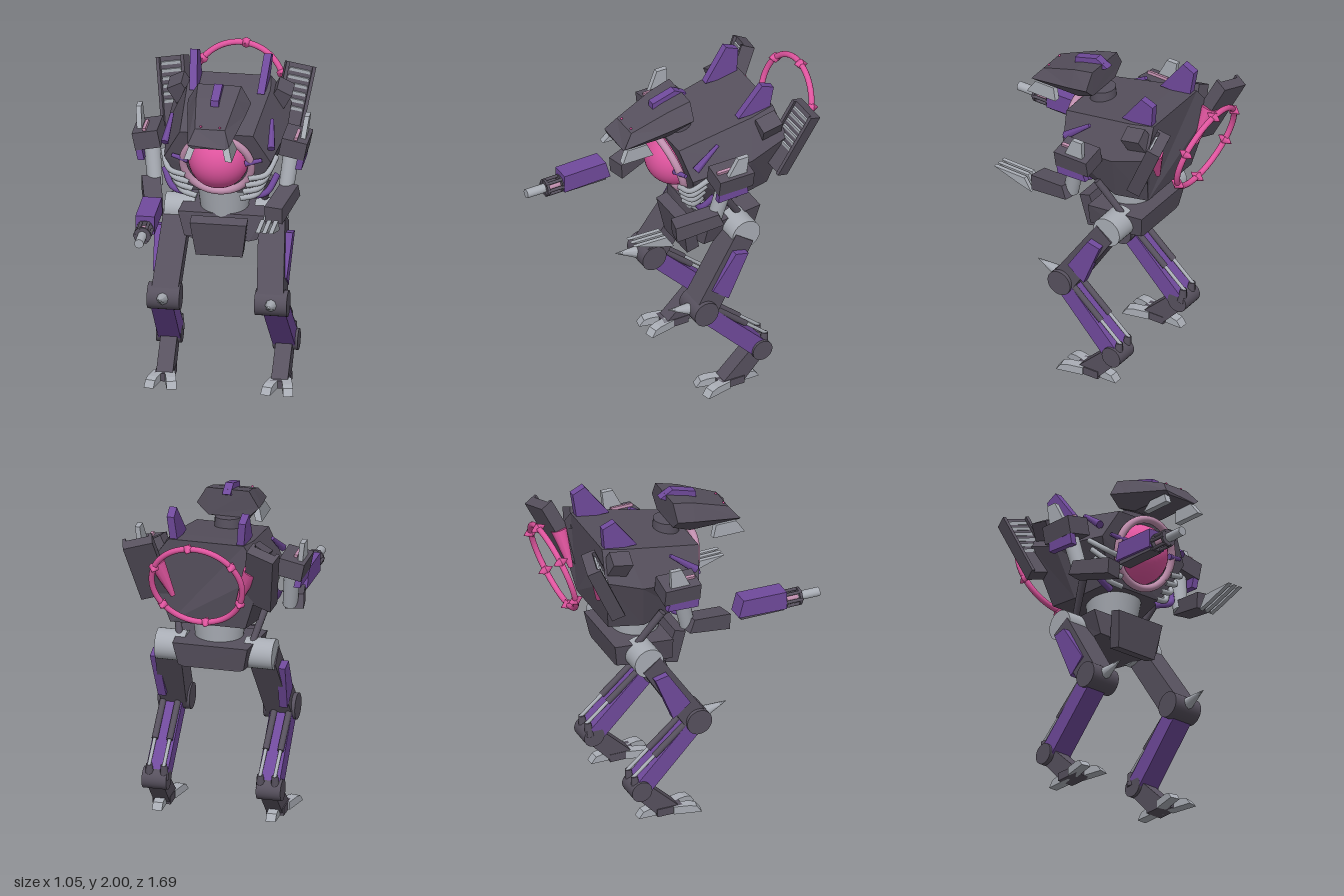
import * as THREE from 'three';

const colour = (name, hex) => {
  const m = new THREE.MeshStandardMaterial({ color: hex });
  m.name = name;
  return m;
};
const V = (p) => new THREE.Vector3(...p);

// Box with baked position and rotation
function box(w, h, d, pos, rot = [0, 0, 0]) {
  return place(new THREE.BoxGeometry(w, h, d), pos, rot);
}

function place(geo, pos, rot = [0, 0, 0]) {
  const q = new THREE.Quaternion().setFromEuler(new THREE.Euler(...rot, 'YXZ'));
  return geo.applyMatrix4(new THREE.Matrix4().compose(V(pos), q, V([1, 1, 1])));
}

// Side profile of [z, y] points, extruded across x
function plate(points, x0, x1) {
  const shape = new THREE.Shape(points.map(([z, y]) => new THREE.Vector2(z, y)));
  return new THREE.ExtrudeGeometry(shape, { depth: x1 - x0, bevelEnabled: false })
    .rotateY(-Math.PI / 2).translate(x1, 0, 0);
}

// Slide x in proportion to the drop below y0
function lean(geo, y0, k) {
  const p = geo.attributes.position;
  for (let i = 0; i < p.count; i++) p.setX(i, p.getX(i) + (y0 - p.getY(i)) * k);
  return geo;
}

// Round bar between two points
function bar(a, b, r0, r1 = r0, sides = 16) {
  const from = V(a), to = V(b), dir = to.clone().sub(from);
  const q = new THREE.Quaternion().setFromUnitVectors(V([0, 1, 0]), dir.clone().normalize());
  return new THREE.CylinderGeometry(r1, r0, dir.length(), sides).applyQuaternion(q)
    .translate(...from.add(to).multiplyScalar(0.5).toArray());
}

// Faceted skin over symmetric rings, front to back; each ring lists its right half from bottom to top
function loft(halves) {
  const rings = halves.map((h) => [...h, ...h.slice().reverse().map(([x, y, z]) => [-x, y, z])]);
  const out = [], n = rings[0].length;
  const tri = (...t) => t.forEach((p) => out.push(...p));
  for (let k = 0; k < rings.length - 1; k++) {
    for (let i = 0; i < n; i++) {
      const j = (i + 1) % n, f = rings[k], b = rings[k + 1];
      tri(f[i], b[i], f[j]);
      tri(f[j], b[i], b[j]);
    }
  }
  const first = rings[0], last = rings[rings.length - 1];
  for (let i = 1; i < n - 1; i++) {
    tri(first[0], first[i], first[i + 1]);
    tri(last[0], last[i + 1], last[i]);
  }
  const g = new THREE.BufferGeometry();
  g.setAttribute('position', new THREE.Float32BufferAttribute(out, 3));
  g.computeVertexNormals();
  return g;
}

// Copy reflected in x, with corner order restored
function mirrored(geo) {
  const g = geo.index ? geo.toNonIndexed() : geo.clone();
  g.scale(-1, 1, 1);
  for (const a of Object.values(g.attributes)) {
    for (let i = 0; i < a.count; i += 3) {
      for (let c = 0; c < a.itemSize; c++) {
        const t = a.getComponent(i + 1, c);
        a.setComponent(i + 1, c, a.getComponent(i + 2, c));
        a.setComponent(i + 2, c, t);
      }
    }
  }
  return g;
}

export function createModel() {
  const dark = colour('dark armour', 0x57515e), purple = colour('purple armour', 0x704a9c);
  const grey = colour('light metal', 0xa9adb5), pink = colour('glowing pink', 0xe0559f);
  const mauve = colour('mauve trim', 0xc08fae);
  const model = new THREE.Group();
  const add = (name, geo, mat) => {
    const m = new THREE.Mesh(geo, mat);
    m.name = name;
    model.add(m);
  };
  const pair = (name, geo, mat) => {
    add(name + 'Left', geo, mat);
    add(name + 'Right', mirrored(geo), mat);
  };

  // Torso
  add('torso', loft([
    [[0.2, 1.28, 0], [0.32, 1.52, 0.08], [0.22, 1.7, 0.12]],
    [[0.25, 1.25, -0.25], [0.36, 1.57, -0.3], [0.25, 1.8, -0.36]],
    [[0.23, 1.28, -0.47], [0.35, 1.66, -0.54], [0.23, 1.825, -0.51]],
  ]), dark);
  add('core', new THREE.SphereGeometry(0.182, 40, 28).translate(0, 1.51, 0.03), pink);
  add('coreRing', place(new THREE.TorusGeometry(0.205, 0.023, 14, 56), [0, 1.495, 0.095], [0.3, 0, 0]), mauve);
  pair('cornerBlock', box(0.1, 0.13, 0.13, [0.3, 1.74, -0.44], [0.2, 0, -0.5]), dark);
  pair('backFin', lean(plate([[-0.28, 1.8], [-0.43, 2], [-0.51, 1.965], [-0.49, 1.8]], 0.2, 0.245), 2, -0.1), purple);
  pair('sideStrake', bar([0.32, 1.6, 0.06], [0.3, 1.72, -0.1], 0.025, 0.012, 6), purple);
  pair('coreStud', bar([0.17, 1.52, 0.12], [0.27, 1.54, 0.1], 0.018, 0.012, 12), purple);
  for (let i = 0; i < 4; i++) {
    const y = 1.45 - i * 0.052, w = 0.34 - i * 0.022;
    const curve = new THREE.CatmullRomCurve3([
      [0.19 - i * 0.02, y - 0.035, 0.1 - i * 0.02], [w - 0.05, y - 0.01, 0.08 - i * 0.02], [w, y + 0.07, -0.02],
    ].map(V));
    pair('rib' + (i + 1), new THREE.TubeGeometry(curve, 14, 0.017, 10), grey);
  }
  const lowRib = new THREE.CatmullRomCurve3([[0.17, 1.25, -0.02], [0.28, 1.29, 0], [0.34, 1.39, -0.06]].map(V));
  pair('lowerRib', new THREE.TubeGeometry(lowRib, 14, 0.02, 8), purple);

  // Head
  add('neck', bar([0, 1.66, 0], [0, 1.79, 0.01], 0.08, 0.08, 28), dark);
  add('head', loft([
    [[0.1, 1.735, 0.43], [0.125, 1.755, 0.435], [0.09, 1.835, 0.37]],
    [[0.1, 1.735, 0.12], [0.175, 1.83, 0.12], [0.12, 1.93, 0.13]],
    [[0.12, 1.79, 0], [0.19, 1.86, 0], [0.13, 1.965, -0.005]],
  ]), dark);
  add('crest', plate([[0.19, 1.9], [0.19, 1.945], [0.04, 1.99], [-0.04, 1.945], [-0.01, 1.93]], -0.025, 0.025), purple);
  pair('eye', new THREE.SphereGeometry(0.007, 10, 8).translate(0.057, 1.845, 0.355), pink);
  pair('mandible', lean(plate([[0.455, 1.67], [0.25, 1.67], [0.28, 1.74], [0.41, 1.74]], 0.08, 0.12), 1.74, 0.35), grey);

  // Back panels with louvres
  const tilt = [-0.39, 0.3, -0.27], centre = [0.35, 1.65, -0.565];
  pair('backPanel', box(0.18, 0.44, 0.065, centre, tilt), dark);
  for (let i = 0; i < 6; i++)
    pair('louvre' + (i + 1), place(box(0.125, 0.02, 0.012, [0, 0.18 - i * 0.045, 0.035], [0.4, 0, 0]), centre, tilt), grey);
  for (const x of [-0.08, 0.08])
    pair('panelRail', place(box(0.02, 0.44, 0.025, [x, 0, 0.04]), centre, tilt), dark);
  pair('panelMount', bar([0.2, 1.47, -0.52], [0.29, 1.69, -0.56], 0.015, 0.05, 10), pink);

  // Floating halo with double-ended spikes
  const haloAt = [0, 1.635, -0.725], haloTilt = [-0.3, 0, 0];
  add('halo', place(new THREE.TorusGeometry(0.277, 0.018, 12, 64), haloAt, haloTilt), pink);
  for (let i = 0; i < 6; i++) {
    const a = THREE.MathUtils.degToRad(23 + i * 60), x = 0.277 * Math.cos(a), y = 0.277 * Math.sin(a);
    for (const s of [-1, 1])
      add('haloSpike', place(bar([x, y, 0], [x, y, s * 0.048], 0.032, 0.001, 8), haloAt, haloTilt), pink);
  }

  // Shoulders and arms
  pair('shoulder', box(0.155, 0.11, 0.23, [0.44, 1.58, -0.11], [0, 0, -0.2]), dark);
  pair('shoulderPad', lean(plate([[0, 1.59], [-0.17, 1.595], [-0.2, 1.46], [0, 1.45]], 0.48, 0.52), 1.59, -0.2), purple);
  pair('shoulderBlade', lean(plate([[-0.04, 1.58], [-0.12, 1.745], [-0.19, 1.745], [-0.18, 1.58]], 0.485, 0.515), 1.7, -0.12), grey);
  pair('shoulderTrim', box(0.02, 0.02, 0.14, [0.455, 1.64, -0.08], [0, 0, -0.2]), mauve);
  pair('upperArm', bar([0.42, 1.53, -0.09], [0.39, 1.28, -0.03], 0.05, 0.045, 20), grey);
  pair('forearm', place(plate([[0.15, -0.05], [0.14, 0.05], [-0.13, 0.055], [-0.15, -0.03]], -0.055, 0.055),
    [0.39, 1.27, 0.09], [0.17, -0.22, 0]), dark);

  // Right arm cannon
  const gx = -0.352, gy = 1.275;
  add('cannonHousing', plate([[0.61, 1.24], [0.61, 1.355], [0.33, 1.36], [0.3, 1.25]], gx - 0.057, gx + 0.057), purple);
  add('cannonBase', box(0.08, 0.03, 0.28, [gx, 1.24, 0.46]), dark);
  add('cannonCore', bar([gx, gy, 0.6], [gx, gy, 0.71], 0.025), mauve);
  add('barrel', bar([gx, gy, 0.7], [gx, gy, 0.84], 0.028), grey);
  for (const z of [0.61, 0.71])
    add('cannonCollar', bar([gx, gy, z - 0.008], [gx, gy, z + 0.008], 0.052), dark);
  for (let i = 0; i < 6; i++) {
    const x = gx + 0.045 * Math.cos(i * Math.PI / 3), y = gy + 0.045 * Math.sin(i * Math.PI / 3);
    add('cannonRod', bar([x, y, 0.6], [x, y, 0.72], 0.01, 0.01, 8), dark);
  }

  // Left arm claws
  for (const x of [0.307, 0.347, 0.387])
    add('claw', plate([[0.515, 1.25], [0.3, 1.245], [0.25, 1.165], [0.32, 1.185]], x - 0.013, x + 0.013), grey);

  // Waist and pelvis
  add('waist', bar([0, 1.08, -0.2], [0, 1.28, -0.19], 0.14, 0.165, 32), grey);
  add('pelvis', loft([
    [[0.17, 0.95, -0.04], [0.22, 0.96, -0.05], [0.26, 1.11, -0.06]],
    [[0.17, 0.96, -0.3], [0.21, 0.97, -0.3], [0.24, 1.12, -0.3]],
    [[0.17, 0.97, -0.4], [0.2, 0.98, -0.4], [0.23, 1.125, -0.425]],
  ]), dark);
  add('frontFlap', loft([
    [[0.14, 0.87, 0.02], [0.17, 1.09, 0.06]],
    [[0.14, 0.89, -0.06], [0.17, 1.11, -0.01]],
  ]), dark);
  pair('waistPiston', bar([0.22, 1.1, -0.29], [0.28, 1.33, -0.14], 0.02, 0.024, 10), dark);

  // Legs
  const disc = (x0, x1, y, z, r) => bar([x0, y, z], [x1, y, z], r, r, 28);
  pair('hip', disc(0.18, 0.36, 1.045, -0.26, 0.093), grey);
  pair('thigh', lean(plate([[-0.19, 1.07], [0.1, 0.64], [-0.03, 0.56], [-0.3, 0.99]], 0.205, 0.365), 1.05, 0.08), dark);
  pair('thighPlate', lean(plate([[-0.16, 0.97], [-0.245, 0.95], [-0.12, 0.65], [-0.01, 0.74]], 0.355, 0.405), 0.8, -0.06), purple);
  pair('knee', disc(0.225, 0.42, 0.6, 0.04, 0.08), dark);
  pair('kneeSpike', bar([0.325, 0.605, 0.09], [0.325, 0.648, 0.25], 0.042, 0.002, 8), grey);
  pair('shank', lean(plate([[0.08, 0.56], [0, 0.63], [-0.375, 0.25], [-0.295, 0.17]], 0.27, 0.405), 0.5, 0.02), purple);
  for (const x of [0.295, 0.385]) {
    pair('shankPiston', bar([x, 0.61, -0.02], [x, 0.42, -0.24], 0.019, 0.019, 10), dark);
    pair('shankRod', bar([x, 0.43, -0.23], [x, 0.3, -0.38], 0.011, 0.011, 10), grey);
    pair('pistonMount', bar([x, 0.31, -0.37], [x, 0.22, -0.36], 0.02, 0.03, 8), dark);
  }
  pair('ankle', disc(0.275, 0.425, 0.21, -0.335, 0.065), dark);
  pair('metatarsal', plate([[-0.3, 0.25], [-0.09, 0.05], [-0.1, 0.01], [-0.22, 0.01], [-0.37, 0.17]], 0.295, 0.395), dark);
  pair('footPad', box(0.11, 0.05, 0.16, [0.347, 0.025, -0.145]), dark);
  const toe = () => plate([[0.09, 0], [0.06, 0.04], [0.02, 0.05], [-0.08, 0.05], [-0.08, 0]], -0.03, 0.03);
  pair('outerToe', place(toe(), [0.4, 0, -0.04], [0, 0.22, 0]), grey);
  pair('innerToe', place(toe(), [0.3, 0, -0.04], [0, -0.22, 0]), grey);
  pair('rearToe', place(toe(), [0.348, 0, -0.245], [0, Math.PI, 0]), grey);

  return model;
}
